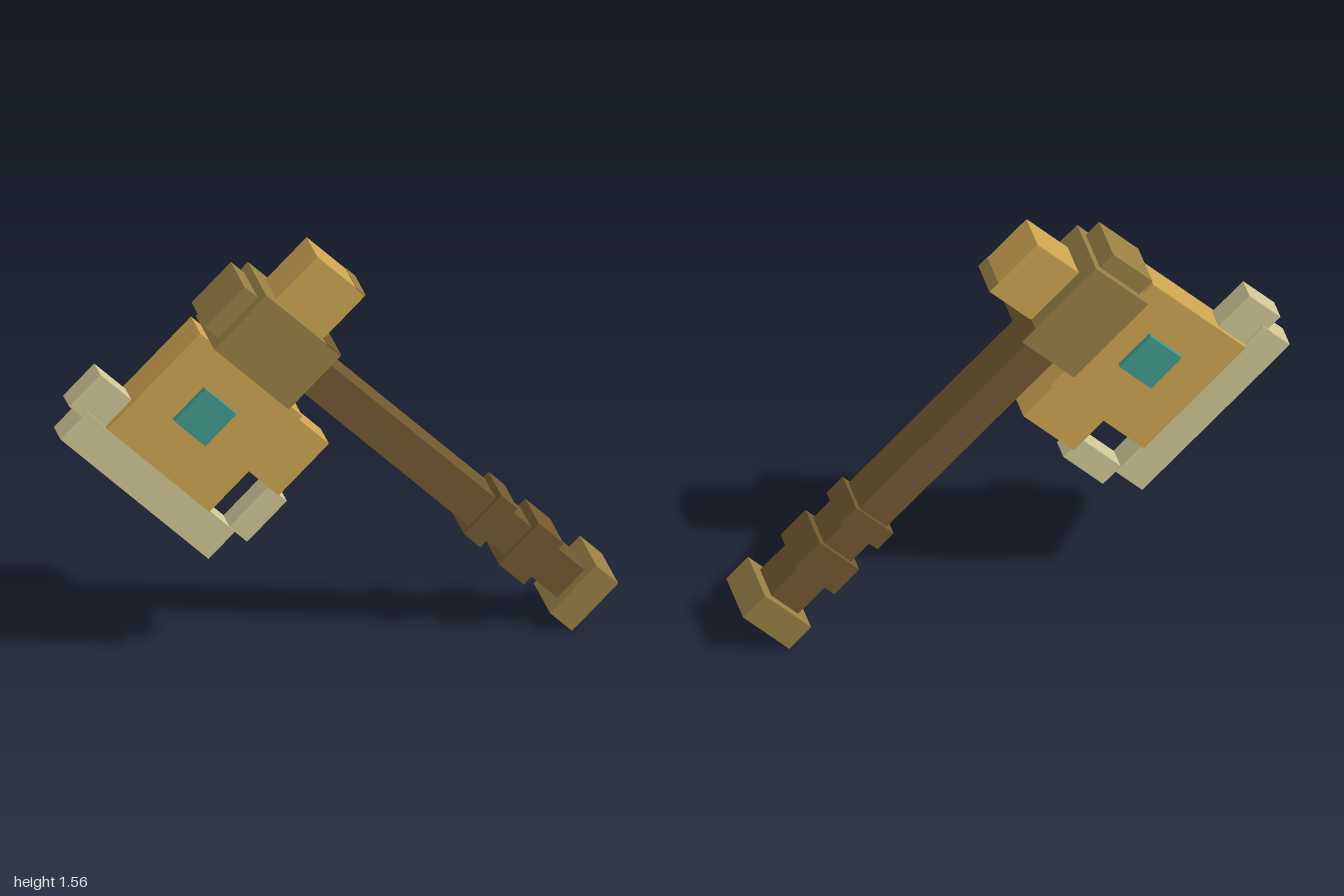
import * as THREE from 'three';

const mat = (name, color) => {
  const m = new THREE.MeshStandardMaterial({ color });
  m.name = name;
  return m;
};

export function createModel() {
  const gold = mat('gold', 0xd0a752);
  const bronze = mat('bronze', 0x9a8145);
  const wood = mat('brownWood', 0x735930);
  const pale = mat('paleEdge', 0xd2c998);
  const teal = mat('tealGem', 0x429c90);

  const model = new THREE.Group();
  model.name = 'axe';

  // The whole axe is laid out upright, then tilted 45 degrees.
  const tilted = new THREE.Group();
  tilted.name = 'tiltedAxe';
  tilted.rotation.z = Math.PI / 4;
  model.add(tilted);

  // Box between x0..x1 and y0..y1 (in diagonal units), half depth hz.
  // An optional material is used for the underside.
  const k = Math.SQRT1_2;
  const box = (name, x0, x1, y0, y1, hz, material, under) => {
    const geometry = new THREE.BoxGeometry((x1 - x0) * k, (y1 - y0) * k, hz * 2);
    const mats = under ? [material, material, material, under, material, material] : material;
    const mesh = new THREE.Mesh(geometry, mats);
    mesh.name = name;
    mesh.position.set((x0 + x1) * k / 2, (y0 + y1) * k / 2, 0);
    tilted.add(mesh);
  };

  // Handle, grip rings and pommel
  box('handle', 0.905, 1.1, -0.7, 1.25, 0.079, wood);
  box('upperGripRing', 0.863, 1.134, -0.144, -0.027, 0.096, wood);
  box('lowerGripRing', 0.856, 1.144, -0.465, -0.284, 0.1, wood);
  box('pommel', 0.832, 1.166, -0.827, -0.668, 0.12, bronze, wood);

  // Head socket with cap and rear hammer block
  box('socket', 0.807, 1.185, 1.205, 1.744, 0.135, bronze, wood);
  box('socketTrim', 1.182, 1.188, 1.205, 1.305, 0.135, wood);
  box('socketCap', 0.855, 1.14, 1.74, 1.84, 0.1, bronze);
  box('hammerBlock', 1.18, 1.484, 1.3, 1.647, 0.079, gold, bronze);
  box('hammerTrim', 1.481, 1.487, 1.3, 1.366, 0.079, bronze);

  // Blade body and its lower lug
  box('bladeBody', 0.134, 0.807, 1.072, 1.812, 0.068, gold, bronze);
  box('bladeLug', 0.417, 0.78, 0.85, 1.075, 0.06, gold, bronze);

  // Pale cutting edge with its two hooks
  box('cuttingEdge', -0.059, 0.134, 0.877, 1.947, 0.05, pale);
  box('upperHook', 0.096, 0.321, 1.81, 2.037, 0.045, pale);
  box('lowerHook', 0.13, 0.417, 0.784, 0.915, 0.045, pale);

  // Gem passing through the blade
  box('gem', 0.385, 0.61, 1.364, 1.588, 0.09, teal);

  return model;
}
